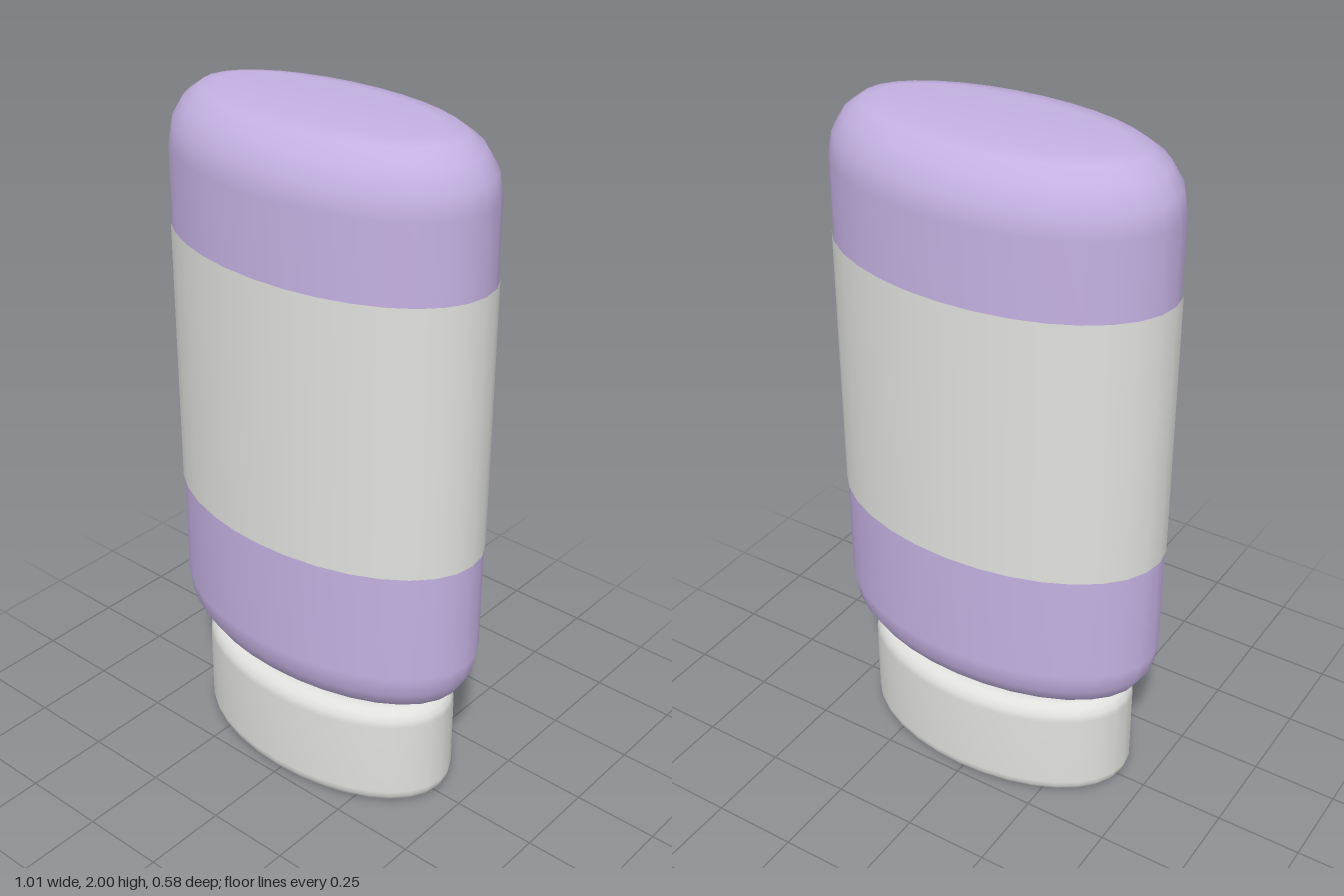
import * as THREE from 'three';
import { mergeVertices } from 'three/addons/utils/BufferGeometryUtils.js';

const SIDES = 32;

// Oval block with rounded top and bottom rims; the rim inset is the same all round.
function roundedOval(halfW, halfD, y0, y1, inset, rise, steps) {
  const profile = [new THREE.Vector2(0, y0)];
  const rim = (t, top) => {
    const a = t * Math.PI / 2;
    const r = halfW - inset * (1 - Math.sin(a));
    const dy = rise * (1 - Math.cos(a));
    profile.push(new THREE.Vector2(r, top ? y1 - dy : y0 + dy));
  };
  for (let i = 0; i <= steps; i++) rim(i / steps, false);
  for (let i = steps; i >= 0; i--) rim(i / steps, true);
  profile.push(new THREE.Vector2(0, y1));

  let geo = new THREE.LatheGeometry(profile, SIDES);
  const pos = geo.attributes.position;
  for (let i = 0; i < pos.count; i++) {
    const r = Math.hypot(pos.getX(i), pos.getZ(i));
    if (r > 1e-4) pos.setZ(i, pos.getZ(i) * (halfD - (halfW - r)) / r);
  }
  // Weld the seam and poles for smooth shading
  geo.deleteAttribute('uv');
  geo.deleteAttribute('normal');
  geo = mergeVertices(geo, 1e-4);
  geo.computeVertexNormals();
  return geo;
}

export function createModel() {
  const group = new THREE.Group();
  group.name = 'bottle';

  const lilac = new THREE.MeshStandardMaterial({ color: 0xc3b1e1 });
  lilac.name = 'lilac';
  const paleGrey = new THREE.MeshStandardMaterial({ color: 0xe0e0dd });
  paleGrey.name = 'pale grey';

  const add = (name, geo, mat) => {
    const mesh = new THREE.Mesh(geo, mat);
    mesh.name = name;
    group.add(mesh);
    return mesh;
  };

  // Cap the bottle stands on
  add('cap', roundedOval(0.43, 0.246, 0, 0.335, 0.05, 0.05, 4), paleGrey);

  // Main oval body
  add('body', roundedOval(0.501, 0.288, 0.335, 2, 0.15, 0.165, 4), lilac);

  // Thin label sleeve wrapped around the body
  const sleeve = new THREE.CylinderGeometry(1, 1, 0.785, SIDES, 1, true);
  sleeve.scale(0.505, 1, 0.292);
  sleeve.translate(0, 1.225, 0);
  add('label', sleeve, paleGrey);

  return group;
}
